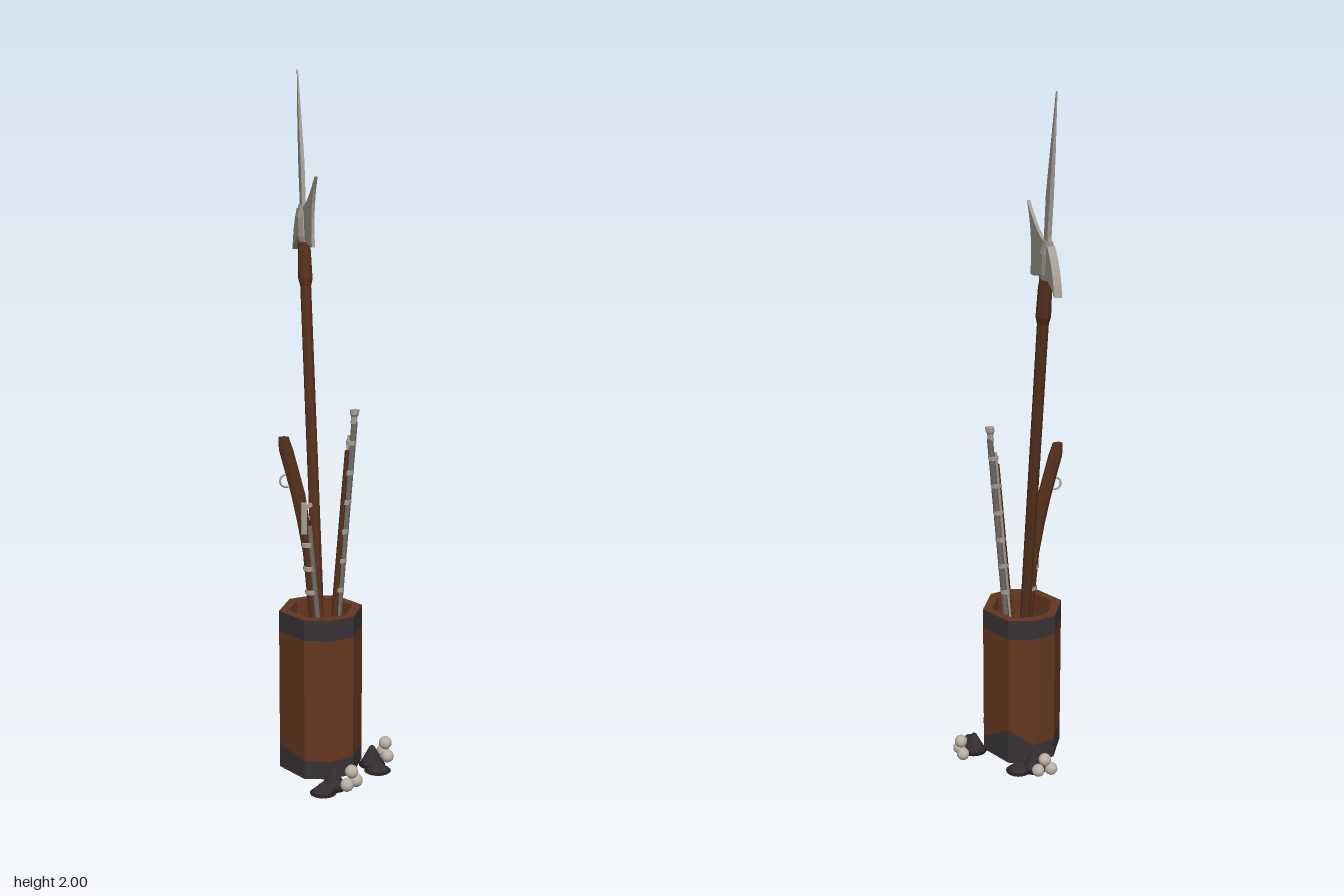
import * as THREE from 'three';

const mat = (name, color, flatShading = true) => {
  const m = new THREE.MeshStandardMaterial({ color, flatShading });
  m.name = name;
  return m;
};

export function createModel() {
  const wood = mat('barrel wood', 0x643620);
  const darkWood = mat('shaft wood', 0x56301c);
  const iron = mat('dark iron', 0x383336);
  const steel = mat('steel', 0xa59e94);
  const gunmetal = mat('gunmetal', 0x6f6a66);
  const powder = mat('black powder', 0x352e31, false);
  const lead = mat('lead shot', 0xb9b0a4, false);

  const model = new THREE.Group();
  model.name = 'weaponBarrel';
  const add = (name, geometry, material, parent = model) => {
    const mesh = new THREE.Mesh(geometry, material);
    mesh.name = name;
    parent.add(mesh);
    return mesh;
  };
  const group = (name) => {
    const g = new THREE.Group();
    g.name = name;
    model.add(g);
    return g;
  };

  // Skin a list of equal-sized rings, ordered counter-clockwise seen from above
  const loft = (rings, caps = true) => {
    const pos = [];
    const tri = (...v) => v.forEach((p) => pos.push(p.x, p.y, p.z));
    const n = rings[0].length;
    for (let r = 0; r + 1 < rings.length; r++) {
      const a = rings[r], b = rings[r + 1];
      for (let i = 0; i < n; i++) {
        const j = (i + 1) % n;
        tri(a[i], a[j], b[j]);
        tri(a[i], b[j], b[i]);
      }
    }
    if (caps) {
      const a = rings[0], b = rings[rings.length - 1];
      for (let i = 1; i + 1 < n; i++) {
        tri(a[0], a[i + 1], a[i]);
        tri(b[0], b[i], b[i + 1]);
      }
    }
    const g = new THREE.BufferGeometry();
    g.setAttribute('position', new THREE.Float32BufferAttribute(pos, 3));
    g.computeVertexNormals();
    return g;
  };
  // Bar through sections [x, y, z, halfX, halfZ] from bottom to top
  const bar = (sections, sides = 8) => loft(sections.map(([x, y, z, hx, hz = hx]) =>
    Array.from({ length: sides }, (_, i) => {
      const a = ((i + 0.5) / sides) * Math.PI * 2;
      return new THREE.Vector3(x + Math.cos(a) * hx, y, z - Math.sin(a) * hz);
    })));

  // Eight-sided barrel
  const barrel = group('barrel');
  const corners = [[0.122, 0], [0.071, -0.101], [0, -0.12], [-0.071, -0.101],
    [-0.122, 0], [-0.071, 0.101], [0, 0.12], [0.071, 0.101]];
  const ring = (scale, y) => corners.map(([x, z], i) =>
    new THREE.Vector3(-0.048 + x * scale, Array.isArray(y) ? y[i] : y, 0.056 + z * scale));
  const lowBand = [0.06, 0.125, 0.075, 0.075, 0.085, 0.07, 0.065, 0.07];
  const bottom = ring(1, 0.014), low = ring(1, lowBand), high = ring(1, 0.425), top = ring(1, 0.485);
  add('barrelStaves', loft([low, high], false), wood);
  add('topHoop', loft([high, top], false), iron);
  add('bottomHoop', loft([bottom, low], false), iron);
  add('barrelRimAndInside', loft([top, ring(0.77, 0.485), ring(0.6, 0.05), ring(0.01, 0.05)], false), wood);
  add('barrelBase', loft([ring(0.01, 0.014), bottom], false), wood);

  // Leaning halberd: shaft
  const halberd = group('halberd');
  const X = -0.048;
  const axisZ = (y) => 0.104 - 0.172 * y;
  add('halberdShaft', bar([[0.05, 0.016], [1.39, 0.016], [1.41, 0.021], [1.49, 0.019], [1.53, 0.015]]
    .map(([y, r]) => [X, y, axisZ(y), r])), darkWood, halberd);
  add('halberdSocket', bar([[1.515, 0.016, 0.03], [1.53, 0.019, 0.036], [1.585, 0.019, 0.036], [1.62, 0.01, 0.028]]
    .map(([y, hx, hz]) => [X, y, axisZ(y) - 0.002, hx, hz])), steel, halberd);

  // Flat plates drawn as (backward, up) outlines
  const plate = (name, thick, draw) => {
    const s = new THREE.Shape();
    draw(s);
    const g = new THREE.ExtrudeGeometry(s, { depth: thick, bevelEnabled: false, curveSegments: 5 });
    g.rotateY(Math.PI / 2).translate(X - thick / 2, 0, 0);
    return add(name, g, steel, halberd);
  };
  plate('axeBlade', 0.009, (s) => {
    s.moveTo(0.145, 1.615);
    s.quadraticCurveTo(0.08, 1.63, -0.005, 1.7);
    s.quadraticCurveTo(0.055, 1.61, 0.03, 1.505);
    s.quadraticCurveTo(0.08, 1.505, 0.14, 1.525);
  });
  plate('beak', 0.022, (s) => {
    s.moveTo(0.17, 1.61);
    s.lineTo(0.205, 1.608);
    s.quadraticCurveTo(0.255, 1.56, 0.268, 1.487);
    s.quadraticCurveTo(0.235, 1.52, 0.17, 1.53);
  });
  add('topSpike', bar([[X, 1.59, -0.171, 0.009, 0.026], [X, 1.63, -0.173, 0.008, 0.022],
    [X, 1.74, -0.189, 0.008, 0.024], [X, 1.85, -0.211, 0.006, 0.016], [X, 2, -0.239, 0.002, 0.003]], 4),
  steel, halberd);

  // Musket standing muzzle down, stock up
  const leftGun = group('stockUpMusket');
  add('stock', bar([[-0.05, 0.25, 0.062, 0.01, 0.01], [-0.076, 0.5, 0.06, 0.011, 0.011],
    [-0.087, 0.65, 0.057, 0.013, 0.012], [-0.098, 0.74, 0.056, 0.018, 0.014],
    [-0.112, 0.82, 0.054, 0.021, 0.014], [-0.13, 0.89, 0.053, 0.021, 0.014],
    [-0.146, 0.95, 0.053, 0.021, 0.014], [-0.153, 0.987, 0.053, 0.015, 0.012]]), darkWood, leftGun);
  add('gunBarrel', bar([[-0.025, 0.06, 0.066, 0.007], [-0.064, 0.5, 0.066, 0.008], [-0.083, 0.73, 0.063, 0.008]]),
    gunmetal, leftGun);
  const guard = add('triggerGuard', new THREE.TorusGeometry(0.018, 0.003, 5, 14), steel, leftGun);
  guard.position.set(-0.146, 0.862, 0.054);
  add('lockPlate', new THREE.BoxGeometry(0.016, 0.09, 0.008), steel, leftGun).position.set(-0.1, 0.755, 0.072);
  const hammer = add('hammer', new THREE.BoxGeometry(0.024, 0.01, 0.01), steel, leftGun);
  hammer.position.set(-0.088, 0.79, 0.074);
  hammer.rotation.z = 0.5;
  [0.53, 0.6, 0.67].forEach((y) => {
    const x = -0.076 - (y - 0.5) * 0.08;
    add('barrelBand', bar([[x, y, 0.062, 0.016], [x - 0.001, y + 0.012, 0.062, 0.016]]), steel, leftGun);
  });

  // Musket standing muzzle up, stock inside the barrel
  const rightGun = group('muzzleUpMusket');
  const gunX = (y) => 0.001 + (y - 0.485) * 0.087;
  const gunZ = (y) => 0.056 - (y - 0.485) * 0.02;
  add('stock', bar([[-0.06, 0.06, 0.082, 0.025, 0.013], [-0.035, 0.22, 0.074, 0.019, 0.013],
    [-0.012, 0.36, 0.064, 0.012, 0.012], [-0.006, 0.5, 0.058, 0.009, 0.01],
    [0.03, 0.94, 0.049, 0.006, 0.008]]), darkWood, rightGun);
  add('gunBarrel', bar([0.36, 1.02].map((y) => [gunX(y) + 0.005, y, gunZ(y), 0.009])), gunmetal, rightGun);
  add('muzzle', bar([[1.015, 0.009], [1.035, 0.009], [1.042, 0.013], [1.055, 0.013]]
    .map(([y, r]) => [gunX(y) + 0.003, y, gunZ(y), r])), steel, rightGun);
  add('ramrod', bar([0.42, 0.98].map((y) => [gunX(y) - 0.006, y, gunZ(y) - 0.009, 0.004]), 6), steel, rightGun);
  for (let y = 0.53; y < 1; y += 0.085) {
    add('barrelBand', bar([[gunX(y), y, gunZ(y), 0.015, 0.013],
      [gunX(y) + 0.001, y + 0.012, gunZ(y), 0.015, 0.013]]), steel, rightGun);
  }

  // Powder mounds: [x, z, radius, height]
  const mound = (x, z, r, h) => {
    const profile = [[1, 0], [0.75, 0.24], [0.45, 0.6], [0.2, 0.92], [0, 1]]
      .map(([u, v]) => new THREE.Vector2(u * r, v * h));
    profile.unshift(new THREE.Vector2(0, 0));
    add('powderMound', new THREE.LatheGeometry(profile, 20), powder).position.set(x, 0.002, z);
  };
  [[-0.045, 0.202, 0.039, 0.06], [-0.081, 0.229, 0.038, 0.03],
    [0.1, 0.078, 0.039, 0.06], [0.105, 0.122, 0.039, 0.03],
    [-0.048, -0.075, 0.039, 0.06], [0, -0.073, 0.038, 0.03]].forEach((m) => mound(...m));

  // Small stacks of three shot: [x, z, stepX, stepZ]
  [[0.002, 0.224, 0.016, -0.012], [0.147, 0.053, 0.001, 0.02], [-0.068, -0.12, 0.02, 0]]
    .forEach(([x, z, dx, dz]) => {
      const stack = group('shotStack');
      [[-1, 0.021], [1, 0.021], [0, 0.054]].forEach(([k, y]) =>
        add('shot', new THREE.SphereGeometry(0.019, 16, 12), lead, stack).position.set(x + k * dx, y, z + k * dz));
    });

  return model;
}
